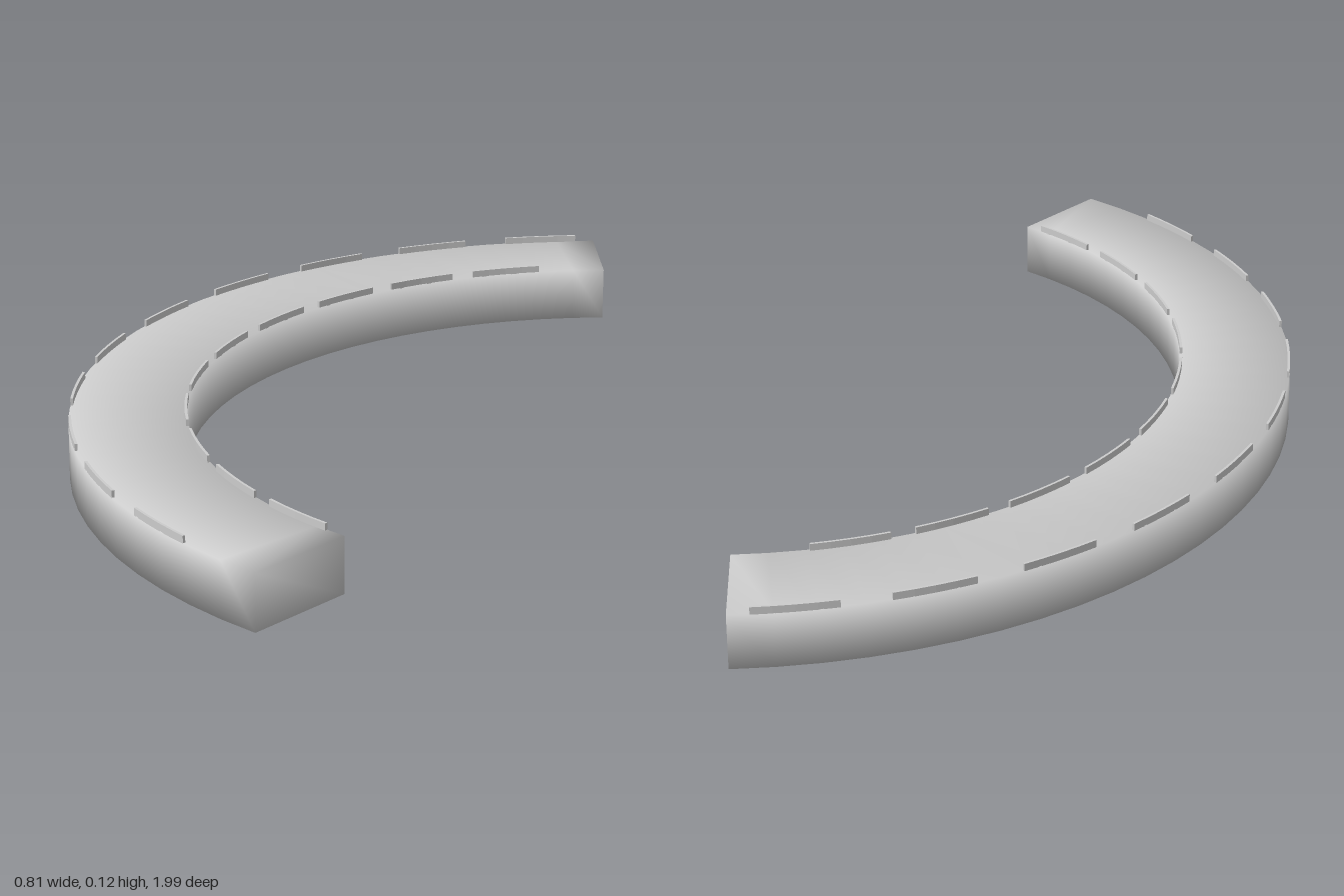
import * as THREE from 'three';

const CX = 0.667, CZ = -0.029;            // centre of the arc
const R_IN = 0.857, R_OUT = 1.073, TOP = 0.104;
const rad = THREE.MathUtils.degToRad;

// Rectangular section swept along an arc; angles in degrees from -x towards +z
function arcBar(r0, r1, y0, y1, a0, a1, steps, smooth) {
  const section = [[r0, y0], [r1, y0], [r1, y1], [r0, y1]];
  const pos = [], idx = [];
  for (let k = 0; k <= steps; k++) {
    const a = rad(a0 + (a1 - a0) * k / steps);
    for (const [r, y] of section) pos.push(CX - r * Math.cos(a), y, CZ + r * Math.sin(a));
  }
  for (let k = 0; k < steps; k++) {
    for (let i = 0; i < 4; i++) {
      const a = k * 4 + i, b = k * 4 + (i + 1) % 4;
      idx.push(a, a + 4, b, b, a + 4, b + 4);
    }
  }
  const e = steps * 4;
  idx.push(0, 1, 2, 0, 2, 3, e, e + 2, e + 1, e, e + 3, e + 2);
  let geo = new THREE.BufferGeometry();
  geo.setAttribute('position', new THREE.Float32BufferAttribute(pos, 3));
  geo.setIndex(idx);
  if (!smooth) geo = geo.toNonIndexed();
  geo.computeVertexNormals();
  return geo;
}

export function createModel() {
  const model = new THREE.Group();
  model.name = 'curvedWall';
  const material = new THREE.MeshStandardMaterial({ color: 0xcccccc });
  const add = (name, geo, parent = model) => {
    const mesh = new THREE.Mesh(geo, material);
    mesh.name = name;
    parent.add(mesh);
  };

  // Main curved body, softly shaded across its edges
  add('body', arcBar(R_IN, R_OUT, 0, TOP, -64.7, 72, 32, true));

  // Broken rows of thin strips along both top edges
  const rows = [
    { name: 'outerStrip', r0: R_OUT - 0.005, r1: R_OUT, start: -62.6, length: 8.2, pitch: 13 },
    { name: 'innerStrip', r0: R_IN, r1: R_IN + 0.005, start: -55.5, length: 9.7, pitch: 12.8 },
  ];
  for (const row of rows) {
    const group = new THREE.Group();
    group.name = row.name + 's';
    for (let i = 0; i < 10; i++) {
      const a = row.start + i * row.pitch;
      add(row.name, arcBar(row.r0, row.r1, TOP - 0.001, 0.117, a, a + row.length, 4, false), group);
    }
    model.add(group);
  }
  return model;
}
